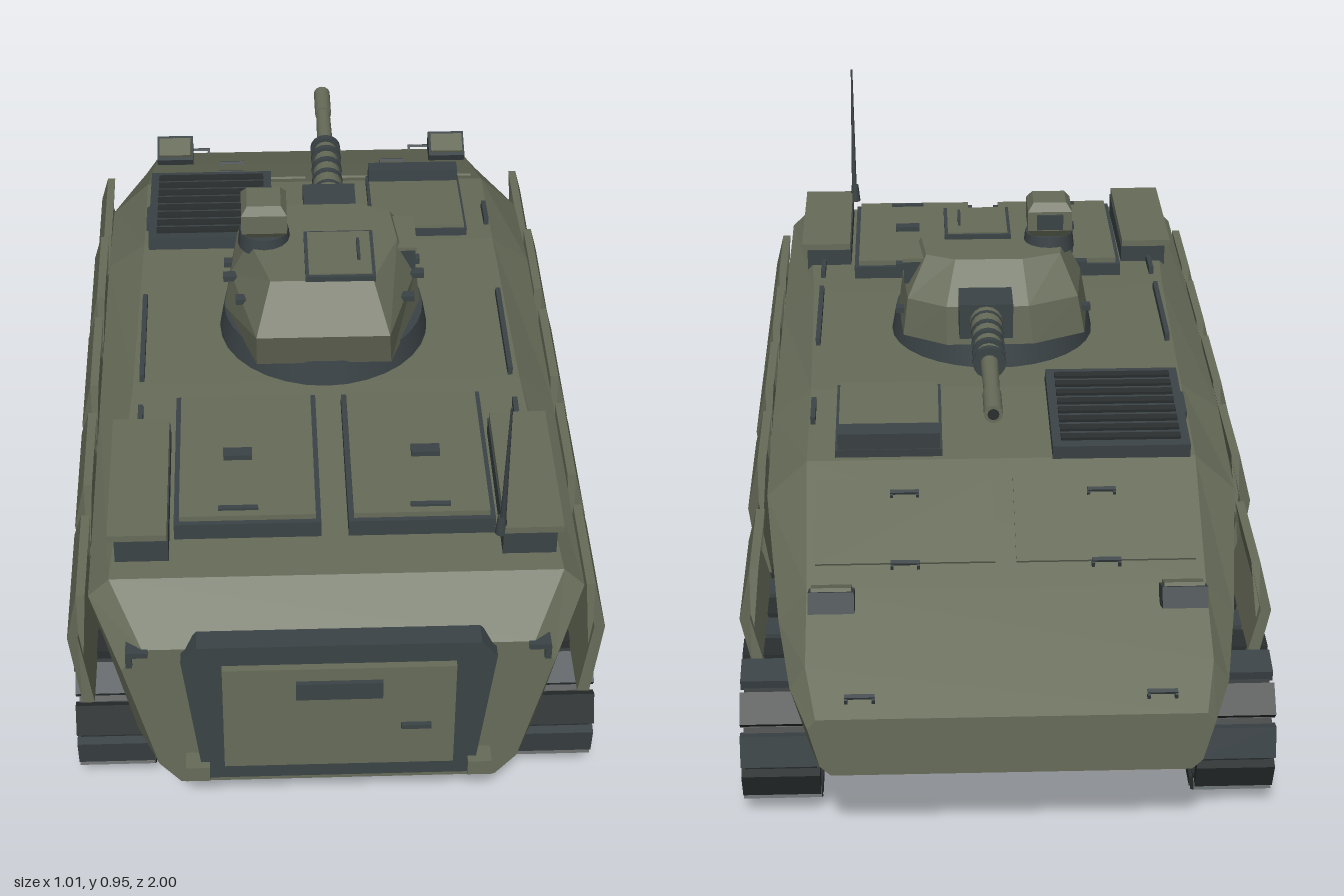
import * as THREE from 'three';

const mat = (name, color) => Object.assign(new THREE.MeshStandardMaterial({ color }), { name });
const olive = mat('olive armour', 0x676c59);
const dark = mat('dark grey steel', 0x3b4346);
const black = mat('track rubber', 0x2a2e2e);

// Flat-shaded solid through cross-sections with equal point counts
function loft(rings) {
  const tris = [], n = rings[0].length;
  for (let r = 0; r < rings.length - 1; r++)
    for (let i = 0; i < n; i++) {
      const j = (i + 1) % n, a = rings[r], b = rings[r + 1];
      tris.push([a[i], a[j], b[j]], [a[i], b[j], b[i]]);
    }
  const last = rings[rings.length - 1];
  for (let i = 1; i < n - 1; i++)
    tris.push([rings[0][0], rings[0][i + 1], rings[0][i]], [last[0], last[i], last[i + 1]]);
  const v = (p) => new THREE.Vector3(...p);
  let volume = 0;
  for (const [a, b, c] of tris) volume += v(a).dot(v(b).cross(v(c)));
  if (volume < 0) tris.forEach((t) => t.reverse());
  const g = new THREE.BufferGeometry();
  g.setAttribute('position', new THREE.Float32BufferAttribute(tris.flat(2), 3));
  g.computeVertexNormals();
  return g;
}

function add(parent, name, geometry, material, x = 0, y = 0, z = 0, pitch = 0) {
  const m = new THREE.Mesh(geometry, material);
  m.name = name;
  m.position.set(x, y, z);
  m.rotation.x = pitch;
  parent.add(m);
  return m;
}
const box = (parent, name, material, w, h, d, x, y, z, pitch) =>
  add(parent, name, new THREE.BoxGeometry(w, h, d), material, x, y, z, pitch);
const cylX = (r, w, n = 28) => new THREE.CylinderGeometry(r, r, w, n).rotateZ(Math.PI / 2);
const cylZ = (rFront, rBack, l, n = 16) => new THREE.CylinderGeometry(rBack, rFront, l, n).rotateX(Math.PI / 2);

// Hull stations: z, then belly, chine, widest and roof edge as x, y
const stations = [
  [0.95, 0.30, 0.15, 0.34, 0.20, 0.40, 0.45, 0.36, 0.50],
  [0.85, 0.32, 0.11, 0.385, 0.20, 0.46, 0.545, 0.42, 0.585],
  [0.30, 0.32, 0.11, 0.385, 0.20, 0.46, 0.545, 0.39, 0.605],
  [-0.20, 0.32, 0.11, 0.385, 0.20, 0.46, 0.54, 0.38, 0.60],
  [-0.475, 0.32, 0.11, 0.385, 0.20, 0.46, 0.50, 0.38, 0.575],
  [-0.75, 0.32, 0.11, 0.38, 0.19, 0.43, 0.38, 0.375, 0.445],
  [-0.90, 0.325, 0.17, 0.37, 0.195, 0.405, 0.325, 0.375, 0.37],
  [-1.0, 0.33, 0.20, 0.35, 0.22, 0.37, 0.30, 0.355, 0.32],
];
// Roof height and pitch at a given z
function roof(z) {
  let i = 0;
  while (i < stations.length - 2 && stations[i + 1][0] > z) i++;
  const a = stations[i], b = stations[i + 1], slope = (b[8] - a[8]) / (b[0] - a[0]);
  return { y: a[8] + slope * (z - a[0]), pitch: -Math.atan(slope) };
}
const onRoof = (g, name, m, w, h, d, x, z, lift = 0) => {
  const r = roof(z);
  return box(g, name, m, w, h, d, x, r.y + lift + h / 2 - 0.003, z, r.pitch);
};

function buildHull(g) {
  add(g, 'hull', loft(stations.map(([z, ...p]) => {
    const half = [0, 2, 4, 6].map((i) => [p[i], p[i + 1], z]);
    return [...half, ...half.map(([x, y]) => [-x, y, z]).reverse()];
  })), olive);

  // Rear ramp
  const plate = (pts, z0, z1) => loft([z0, z1].map((z) => pts.map(([x, y]) => [x, y, z])));
  add(g, 'rampFrame', plate([[-0.255, 0.185], [0.255, 0.185], [0.29, 0.49], [0.26, 0.525],
    [-0.26, 0.525], [-0.29, 0.49]], 0.93, 0.975), dark);
  box(g, 'rampDoor', olive, 0.43, 0.25, 0.03, 0, 0.355, 0.974);
  box(g, 'rampWindow', dark, 0.16, 0.04, 0.012, 0, 0.43, 0.992);
  box(g, 'rampHandle', dark, 0.056, 0.01, 0.01, 0.143, 0.333, 0.993);

  for (const s of [1, -1]) {
    box(g, 'rampHinge', olive, 0.045, 0.035, 0.05, s * 0.266, 0.21, 0.965);
    box(g, 'tailLight', dark, 0.04, 0.012, 0.04, s * 0.37, 0.495, 0.94);
    box(g, 'tailLightSide', dark, 0.012, 0.03, 0.04, s * 0.385, 0.48, 0.94);
    // Stowage bins with overhanging lids
    box(g, 'stowageBin', dark, 0.10, 0.06, 0.34, s * 0.36, 0.605, 0.635);
    box(g, 'stowageLid', olive, 0.11, 0.014, 0.34, s * 0.367, 0.643, 0.635);
    // Troop hatches
    box(g, 'hatchFrame', dark, 0.275, 0.035, 0.38, s * 0.163, 0.612, 0.565);
    box(g, 'hatchLid', olive, 0.255, 0.014, 0.36, s * 0.163, 0.634, 0.565);
    box(g, 'hatchHandle', dark, 0.055, 0.014, 0.025, s * 0.18, 0.645, 0.572);
    box(g, 'hatchHinge', dark, 0.075, 0.008, 0.01, s * 0.18, 0.642, 0.725);
    // Roof rails, headlights and lifting handles
    for (const z of [0.15, -0.30, 0.42]) onRoof(g, 'sideRail', dark, 0.01, 0.02, z === 0.15 ? 0.28 : 0.08, s * 0.372, z);
    box(g, 'headlight', dark, 0.085, 0.04, 0.07, s * 0.327, 0.45, -0.80, 0.4);
    box(g, 'headlightHood', olive, 0.075, 0.008, 0.05, s * 0.327, 0.471, -0.79, 0.4);
    for (const [x, z] of [[0.19, -0.71], [0.19, -0.56], [0.275, -0.97]]) {
      onRoof(g, 'liftHandle', dark, 0.055, 0.006, 0.008, s * x, z, 0.014);
      for (const e of [-0.025, 0.025]) onRoof(g, 'handlePost', dark, 0.006, 0.016, 0.008, s * x + e, z);
    }
    onRoof(g, 'glacisPanel', olive, 0.34, 0.008, 0.20, s * 0.19, -0.61);
  }

  // Engine grille
  onRoof(g, 'grilleFrame', dark, 0.27, 0.03, 0.30, -0.235, -0.33);
  for (let i = 0; i < 8; i++)
    onRoof(g, 'grilleSlat', black, 0.235, 0.008, 0.018, -0.235, -0.45 + i * 0.034, 0.028);

  // Driver hatch and periscopes
  onRoof(g, 'driverHatchFrame', dark, 0.21, 0.02, 0.25, 0.22, -0.34);
  onRoof(g, 'driverHatch', olive, 0.198, 0.012, 0.238, 0.22, -0.34, 0.016);
  onRoof(g, 'periscopeBar', dark, 0.2, 0.045, 0.04, 0.22, -0.445, 0.01);

  // Whip antenna
  add(g, 'antennaBase', new THREE.CylinderGeometry(0.008, 0.012, 0.04, 8), dark, 0.306, 0.65, 0.795);
  add(g, 'antenna', new THREE.CylinderGeometry(0.002, 0.006, 0.30, 8), dark, 0.308, 0.80, 0.81, 0.1);
}

function buildSkirts(g, s) {
  // Rear z, front z, top height of each panel
  const panels = [[0.86, 0.56, 0.527], [0.545, 0.245, 0.527], [0.23, -0.08, 0.527],
    [-0.095, -0.40, 0.515], [-0.415, -0.73, 0.455]];
  for (const [z0, z1, top] of panels) {
    const mid = top - 0.085;
    const section = (zb, zm, zt) => [[0.485, 0.277, zb], [0.505, mid, zm], [0.485, top, zt],
      [0.468, top, zt], [0.485, mid, zm], [0.462, 0.277, zb]].map(([x, y, z]) => [s * x, y, z]);
    add(g, 'sideSkirt', loft([section(z0, z0 - 0.005, z0 - 0.03), section(z1, z1 + 0.005, z1 + 0.045)]), olive);
    box(g, 'skirtStep', dark, 0.012, 0.016, Math.abs(z0 - z1) - 0.07, s * 0.494, 0.333, (z0 + z1) / 2);
  }
}

function buildTrack(g, s) {
  const zBack = 0.70, zFront = -0.735, cy = 0.142, R = 0.131, x = s * 0.43;
  // Belt with rounded ends
  const loop = (path, r) => {
    path.absarc(-zFront, cy, r, -Math.PI / 2, Math.PI / 2, false);
    path.absarc(-zBack, cy, r, Math.PI / 2, Math.PI * 1.5, false);
    path.closePath();
    return path;
  };
  const shape = loop(new THREE.Shape(), 0.128);
  shape.holes.push(loop(new THREE.Path(), 0.119));
  const belt = new THREE.ExtrudeGeometry(shape, { depth: 0.135, bevelEnabled: false, curveSegments: 12 });
  add(g, 'trackBelt', belt.translate(0, 0, -0.0675).rotateY(Math.PI / 2), black, x);

  // Links spaced around the loop
  const run = zBack - zFront, arc = Math.PI * R, total = 2 * (run + arc), count = 48;
  for (let i = 0; i < count; i++) {
    let d = (i / count) * total, y, z, turn;
    if (d < run) { z = zFront + d; y = cy - R; turn = 0; }
    else if (d < run + arc) {
      turn = (d - run) / R;
      z = zBack + R * Math.sin(turn); y = cy - R * Math.cos(turn);
    } else if (d < 2 * run + arc) { z = zBack - (d - run - arc); y = cy + R; turn = Math.PI; }
    else {
      turn = Math.PI + (d - 2 * run - arc) / R;
      z = zFront + R * Math.sin(turn); y = cy - R * Math.cos(turn);
    }
    box(g, 'trackLink', i % 2 ? dark : black, 0.148, 0.022, 0.062, x, y, z, -turn);
  }

  // Road wheels
  for (let i = 0; i < 7; i++) {
    const z = zBack + (zFront - zBack) * i / 6, wheel = new THREE.Group();
    wheel.name = 'roadWheel';
    wheel.position.set(0, cy + 0.003, z);
    g.add(wheel);
    add(wheel, 'tyre', cylX(0.119, 0.115), dark, s * 0.428);
    add(wheel, 'rim', cylX(0.11, 0.02), olive, s * 0.481);
    add(wheel, 'dish', cylX(0.084, 0.02), dark, s * 0.484);
    add(wheel, 'hubPlate', cylX(0.047, 0.02), olive, s * 0.489);
    add(wheel, 'hubCap', cylX(0.022, 0.02, 12), olive, s * 0.494);
    for (let k = 0; k < 6; k++) {
      const a = k * Math.PI / 3;
      add(wheel, 'wheelBolt', cylX(0.011, 0.02, 8), olive, s * 0.487, 0.065 * Math.cos(a), 0.065 * Math.sin(a));
    }
  }
}

function buildTurret(g) {
  add(g, 'turretRing', new THREE.CylinderGeometry(0.205, 0.215, 0.055, 32), dark, 0, 0.63, 0.1);
  const ring = (y, pts) => pts.map(([x, z]) => [x, y, z]);
  add(g, 'turretBody', loft([
    ring(0.652, [[0.13, 0.30], [0.2, 0.10], [0.19, -0.05], [0.10, -0.105], [-0.08, -0.105], [-0.19, -0.05], [-0.205, 0.10], [-0.14, 0.30]]),
    ring(0.735, [[0.125, 0.325], [0.19, 0.10], [0.18, -0.05], [0.10, -0.10], [-0.07, -0.10], [-0.175, -0.05], [-0.19, 0.10], [-0.14, 0.325]]),
    ring(0.812, [[0.095, 0.24], [0.15, 0.10], [0.14, 0.0], [0.08, -0.03], [-0.06, -0.03], [-0.14, 0.0], [-0.15, 0.10], [-0.11, 0.24]]),
  ]), olive);
  box(g, 'turretHatchFrame', dark, 0.14, 0.014, 0.16, 0.03, 0.815, 0.162);
  box(g, 'turretHatch', olive, 0.126, 0.01, 0.146, 0.03, 0.820, 0.162);
  box(g, 'turretHatchHandle', dark, 0.006, 0.016, 0.06, 0.068, 0.83, 0.16);
  box(g, 'sensorBox', dark, 0.045, 0.05, 0.11, 0.165, 0.77, 0.06);
  box(g, 'sensorLid', olive, 0.05, 0.008, 0.115, 0.165, 0.798, 0.06);
  for (const s of [1, -1])
    for (const z of [0.0, 0.12, 0.2])
      box(g, 'turretBracket', dark, 0.03, 0.012, 0.02, s * (z > 0.15 ? 0.165 : 0.19), z ? 0.74 : 0.69, z);

  // Commander sight with chamfered head
  add(g, 'sightBase', new THREE.CylinderGeometry(0.05, 0.054, 0.035, 16), dark, -0.12, 0.815, 0.08);
  const square = (y, h) => [[-1, -1], [1, -1], [1, 1], [-1, 1]].map(([x, z]) => [-0.12 + x * h, y, 0.08 + z * h]);
  add(g, 'sightHead', loft([square(0.83, 0.034), square(0.848, 0.046), square(0.89, 0.046), square(0.907, 0.034)]), olive);
  box(g, 'sightLens', dark, 0.055, 0.032, 0.008, -0.12, 0.868, 0.032);

  // Gun
  const gx = 0.02, gy = 0.732;
  box(g, 'mantlet', dark, 0.11, 0.075, 0.09, gx, gy, -0.125);
  add(g, 'gunSleeve', cylZ(0.024, 0.034, 0.20), olive, gx, gy, -0.265);
  for (const z of [-0.19, -0.235, -0.28, -0.325, -0.365])
    add(g, 'sleeveBand', cylZ(0.033, 0.033, 0.014), dark, gx, gy, z);
  add(g, 'barrel', cylZ(0.015, 0.018, 0.18), olive, gx, gy, -0.44);
  add(g, 'muzzle', cylZ(0.018, 0.018, 0.09), olive, gx, gy, -0.555);
  add(g, 'bore', cylZ(0.011, 0.011, 0.006), black, gx, gy, -0.599);
}

export function createModel() {
  const model = new THREE.Group();
  model.name = 'trackedArmouredVehicle';
  const part = (name, build, s) => {
    const g = new THREE.Group();
    g.name = name;
    build(g, s);
    model.add(g);
  };
  part('hullAssembly', buildHull);
  for (const s of [1, -1]) {
    const side = s > 0 ? 'left' : 'right';
    part(side + 'Skirts', buildSkirts, s);
    part(side + 'Track', buildTrack, s);
  }
  part('turret', buildTurret);
  return model;
}
